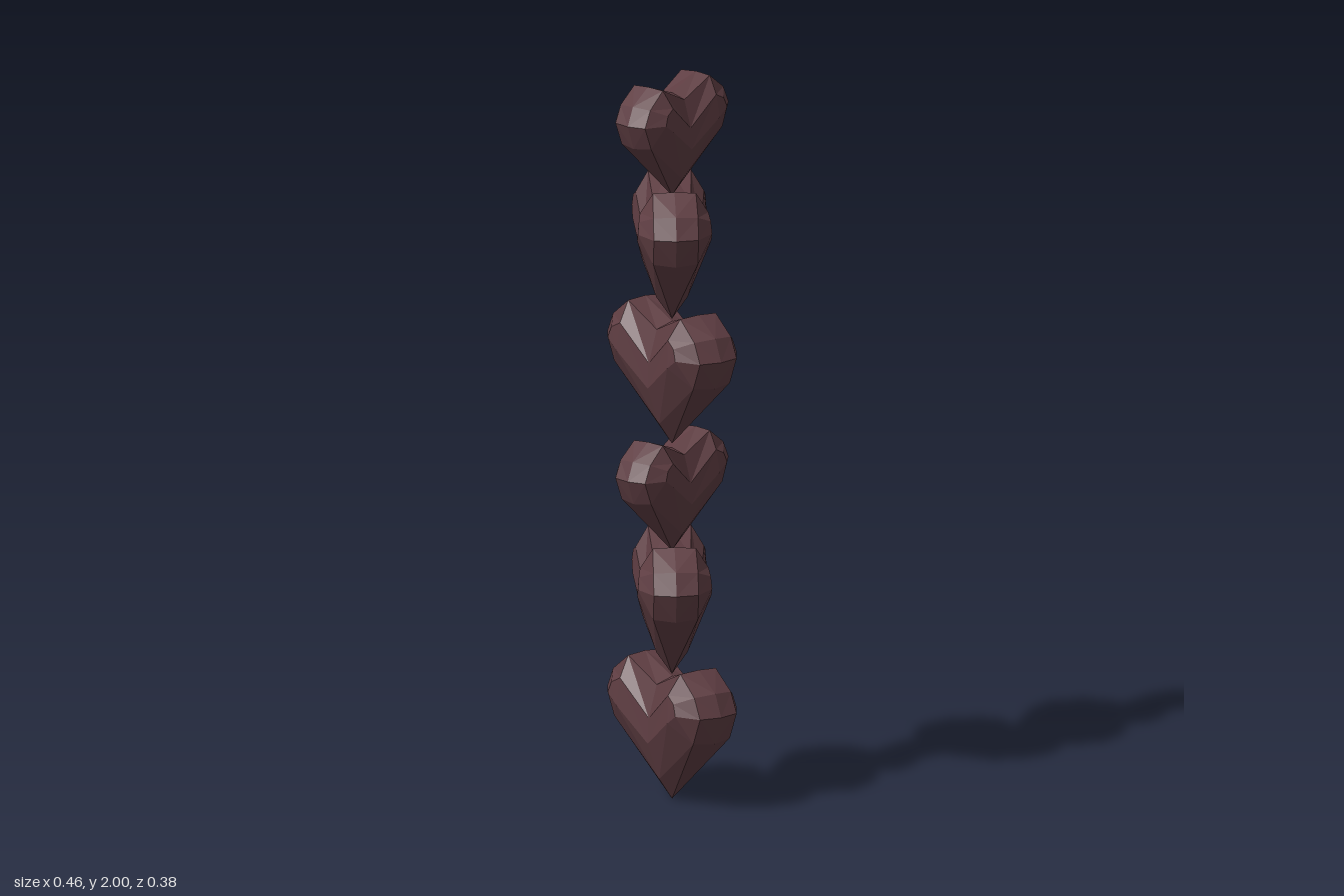
import * as THREE from 'three';

// Right half of one heart, as rings of points [x, y, z] from the tip, round the lobe, to the notch
const RINGS = [
  // rim
  [[0, 0, 0], [0.2, 0.195, 0], [0.23, 0.275, 0], [0.203, 0.335, 0], [0.125, 0.385, 0], [0, 0.34, 0]],
  // bevel
  [[0, 0.06, 0.042], [0.185, 0.2, 0.06], [0.217, 0.275, 0.06], [0.19, 0.33, 0.06], [0.122, 0.381, 0.058], [0, 0.325, 0.05]],
  // raised face
  [[0, 0.165, 0.08], [0.12, 0.25, 0.1], [0.158, 0.277, 0.1], [0.145, 0.308, 0.097], [0.112, 0.325, 0.092], [0, 0.235, 0.076]],
];

function heartGeometry() {
  const positions = [];
  // Mirror the quarter shell left/right and front/back
  for (const sx of [1, -1]) for (const sz of [1, -1]) {
    const tri = (...points) => {
      if (sx * sz < 0) points.reverse();
      for (const [x, y, z] of points) positions.push(x * sx, y, z * sz);
    };
    const quad = (a, b, c, d) => { tri(a, b, c); tri(a, c, d); };
    for (let r = 0; r < 2; r++) {
      const outer = RINGS[r], inner = RINGS[r + 1];
      for (let i = 0; i < 5; i++) quad(outer[i], outer[i + 1], inner[i + 1], inner[i]);
    }
    const f = RINGS[2];
    quad(f[0], f[1], f[4], f[5]);
    quad(f[1], f[2], f[3], f[4]);
  }
  const geometry = new THREE.BufferGeometry();
  geometry.setAttribute('position', new THREE.Float32BufferAttribute(positions, 3));
  geometry.computeVertexNormals();
  return geometry;
}

export function createModel() {
  const group = new THREE.Group();
  group.name = 'heartStack';
  const geometry = heartGeometry();
  const material = new THREE.MeshStandardMaterial({ color: 0x5e3d42, flatShading: true });

  // Three turned hearts, repeated twice up the stack
  const pattern = [
    { y: 0, turn: 0, size: 1 },
    { y: 0.347, turn: 32, size: 1 },
    { y: 0.69, turn: 73, size: 0.84 },
  ];
  for (let k = 0; k < 2; k++) {
    pattern.forEach(({ y, turn, size }, i) => {
      const heart = new THREE.Mesh(geometry, material);
      heart.name = `heart${k * 3 + i + 1}`;
      heart.position.y = y + k * 0.987;
      heart.rotation.y = -THREE.MathUtils.degToRad(turn);
      heart.scale.setScalar(size);
      group.add(heart);
    });
  }
  return group;
}
